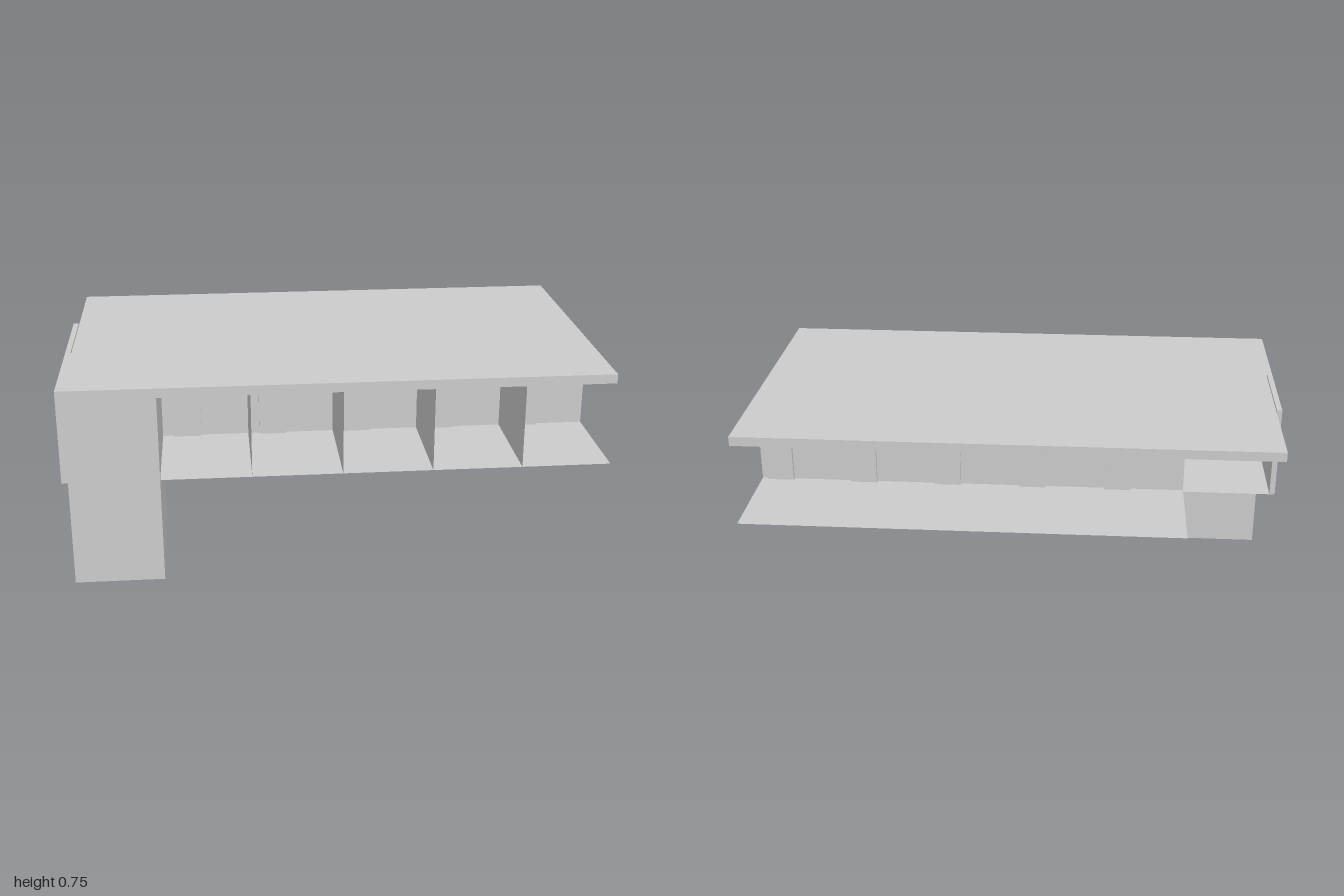
import * as THREE from 'three';

export function createModel() {
  const model = new THREE.Group();
  const mat = new THREE.MeshStandardMaterial({ color: 0xcccccc, flatShading: true, side: THREE.DoubleSide });

  const add = (name, geometry, parent = model) => {
    const mesh = new THREE.Mesh(geometry, mat);
    mesh.name = name;
    parent.add(mesh);
    return mesh;
  };
  // Box given by its extents on each axis
  const box = (name, x0, x1, y0, y1, z0, z1, parent) =>
    add(name, new THREE.BoxGeometry(x1 - x0, y1 - y0, z1 - z0), parent)
      .position.set((x0 + x1) / 2, (y0 + y1) / 2, (z0 + z1) / 2);

  const floorY = 0.4, ceilingY = 0.715, topY = 0.75;
  const front = 0.58, back = -0.58, roomFront = 0.163, roomBack = -0.19;
  const left = 1, towerEdge = -0.65, right = -1;

  // Roof slab
  box('roof', -0.977, left, ceilingY, topY, back, front);

  // Ground-level tower and the storey on top of it
  box('tower', -0.977, towerEdge, 0, floorY, roomFront, front);
  box('towerUpper', right, towerEdge, floorY, topY, roomFront, front);

  // Side wall screening the open landing
  box('landingWall', right, -0.98, floorY, topY, -0.203, roomFront);

  // Row of rooms
  box('rooms', towerEdge, left, floorY, topY, roomBack, roomFront);

  // Thin floor deck with a notch at the back corner (shape y becomes -z)
  const deck = new THREE.Shape([
    [towerEdge, -front], [left, -front], [left, -back], [towerEdge, -back],
    [towerEdge, 0.203], [right, 0.203], [right, -roomFront], [towerEdge, -roomFront],
  ].map(([x, y]) => new THREE.Vector2(x, y)));
  const deckMesh = add('floorDeck', new THREE.ShapeGeometry(deck).rotateX(-Math.PI / 2));
  deckMesh.position.y = floorY;

  // Balcony dividers, and a front and back door for each of the five rooms
  const bays = new THREE.Group();
  bays.name = 'bays';
  model.add(bays);
  const bay = (left - towerEdge) / 5, doorTop = 0.645, half = 0.052;
  for (let i = 0; i < 5; i++) {
    const x = towerEdge + i * bay;
    if (i > 0) {
      const depth = front - roomFront;
      const divider = add('balconyDivider',
        new THREE.PlaneGeometry(depth, ceilingY - floorY).rotateY(Math.PI / 2), bays);
      divider.position.set(x, (floorY + ceilingY) / 2, roomFront + depth / 2);
    }
    const f = x + 0.095, b = x + 0.255;
    box('frontDoor', f - half, f + half, floorY, doorTop, roomFront, 0.175, bays);
    box('backDoor', b - half, b + half, floorY, doorTop, -0.203, roomBack, bays);
  }
  return model;
}
